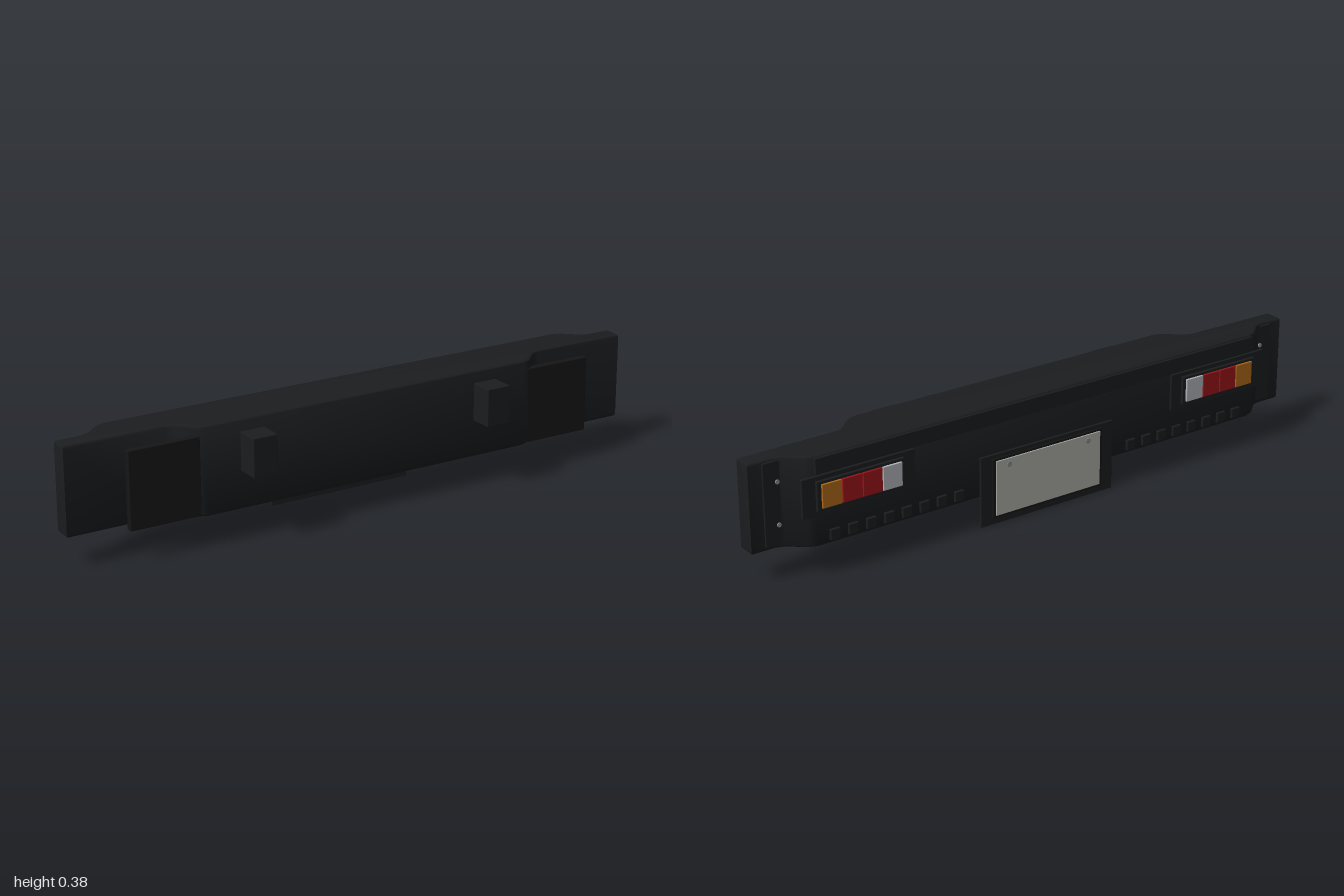
import * as THREE from 'three';
import { RoundedBoxGeometry } from 'three/addons/geometries/RoundedBoxGeometry.js';
import { toCreasedNormals } from 'three/addons/utils/BufferGeometryUtils.js';

const mat = (color) => new THREE.MeshStandardMaterial({ color });
const black = mat(0x1b1d1f), rubber = mat(0x161616), amber = mat(0xb06a18);
const red = mat(0x9c1418), white = mat(0xb4b6bc), plateGrey = mat(0xb0b1a8), steel = mat(0x8a8c90);

export function createModel() {
  const model = new THREE.Group();

  // Rounded box given by its limits on each axis
  const box = (name, [x0, x1], [y0, y1], [z0, z1], material, r = 0.002) => {
    const mesh = new THREE.Mesh(new RoundedBoxGeometry(x1 - x0, y1 - y0, z1 - z0, 2, r), material);
    mesh.position.set((x0 + x1) / 2, (y0 + y1) / 2, (z0 + z1) / 2);
    mesh.name = name;
    model.add(mesh);
  };
  // Same box on the left (+x) and right (-x)
  const pair = (name, [x0, x1], y, z, material, r) => {
    box(name + 'Left', [x0, x1], y, z, material, r);
    box(name + 'Right', [-x1, -x0], y, z, material, r);
  };
  const bolt = (name, x, y, z, r) => {
    const mesh = new THREE.Mesh(new THREE.CylinderGeometry(r, r, 0.006, 12), steel);
    mesh.rotation.x = Math.PI / 2;
    mesh.position.set(x, y, z);
    mesh.name = name;
    model.add(mesh);
  };

  // Beam: plan outline (x, z) extruded upwards with rounded edges
  const half = [[0.57, 0.068], [0.6, 0.056], [0.645, 0.012], [0.675, 0], [1, 0],
    [1, -0.06], [0.92, -0.06], [0.895, -0.068], [0.845, -0.112], [0.815, -0.123]];
  const outline = [...half, ...half.map(([x, z]) => [-x, z]).reverse()];
  const plan = new THREE.Shape(outline.map(([x, z]) => new THREE.Vector2(x, -z)));
  const bevel = 0.01;
  const beamGeometry = new THREE.ExtrudeGeometry(plan, {
    depth: 0.286 - 2 * bevel, bevelEnabled: true, bevelSize: bevel,
    bevelThickness: bevel, bevelOffset: -bevel, bevelSegments: 4,
  });
  beamGeometry.rotateX(-Math.PI / 2).translate(0, 0.098 + bevel, 0);
  const beam = new THREE.Mesh(toCreasedNormals(beamGeometry, 0.7), black);
  beam.name = 'beam';
  model.add(beam);

  // Front side: mounting brackets and flaps
  pair('mountBracket', [0.377, 0.46], [0.22, 0.345], [0.05, 0.145], black, 0.003);
  pair('flap', [0.59, 0.825], [0.102, 0.352], [0.038, 0.06], rubber, 0.003);

  // Rear trim strip and wing plates
  box('topStrip', [-0.82, 0.82], [0.328, 0.378], [-0.129, -0.118], black);
  pair('wingPlate', [0.875, 0.955], [0.112, 0.374], [-0.066, -0.056], black);
  for (const s of [-1, 1])
    for (const y of [0.174, 0.309]) bolt('wingBolt', s * 0.91, y, -0.067, 0.007);

  // Tail lamps: backing plate, housing and four lenses
  pair('lampBackPlate', [0.485, 0.868], [0.2, 0.324], [-0.13, -0.12], black);
  pair('lampHousing', [0.525, 0.823], [0.216, 0.31], [-0.139, -0.128], black);
  const lensWidth = 0.0685;
  [white, red, red, amber].forEach((material, i) => {
    const x = 0.536 + i * lensWidth;
    pair('lens' + i, [x + 0.001, x + lensWidth - 0.001], [0.225, 0.301], [-0.145, -0.135], material);
  });

  // Row of small cleats along the lower rear edge
  for (let i = 0; i < 8; i++) {
    const x = 0.31 + i * 0.062;
    pair('cleat' + i, [x, x + 0.034], [0.11, 0.145], [-0.131, -0.118], black, 0.003);
  }

  // Number plate on its carrier
  box('plateCarrier', [-0.25, 0.25], [0, 0.23], [-0.13, -0.121], black);
  box('plateFrame', [-0.208, 0.208], [0.02, 0.217], [-0.134, -0.128], rubber);
  box('plate', [-0.198, 0.198], [0.028, 0.209], [-0.137, -0.132], plateGrey);
  for (const x of [-0.15, 0.15]) bolt('plateScrew', x, 0.188, -0.1355, 0.009);

  return model;
}
